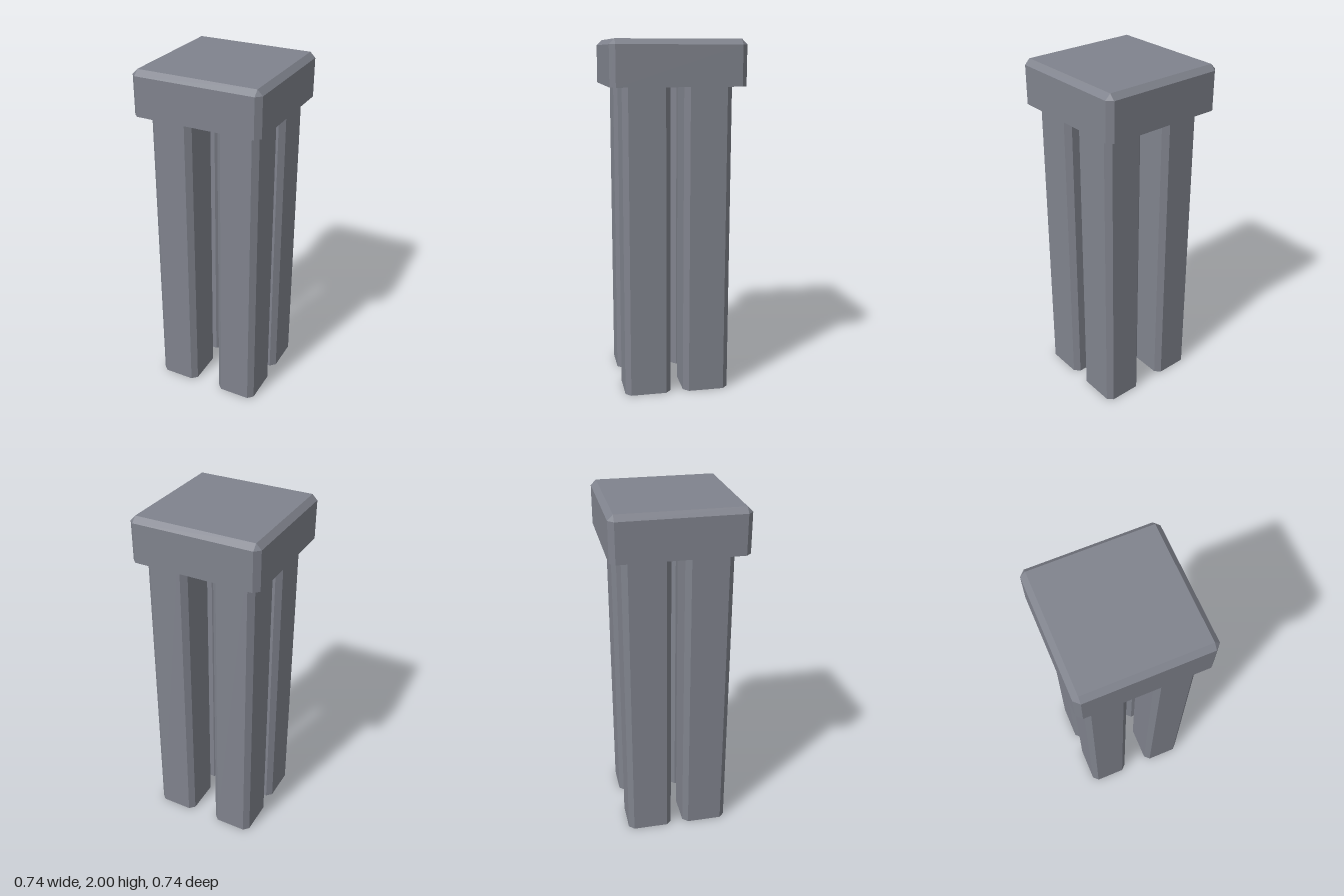
import * as THREE from 'three';

const CHAMFER = 0.03;

// Hollow block, open underneath, with chamfered upright and top edges.
function chamferedShell(width, height, depth, c = CHAMFER) {
  const w = width / 2, d = depth / 2;
  const corners = [[1, 1], [1, -1], [-1, -1], [-1, 1]];
  const outer = [], inner = [];
  for (const [sx, sz] of corners) {
    const pair = [[sx * (w - c), sz * d], [sx * w, sz * (d - c)]];
    if (sx !== sz) pair.reverse();
    outer.push(...pair);
    const top = [sx * (w - c), sz * (d - c)];
    inner.push(top, top);
  }
  const positions = [];
  const tri = (...points) => points.forEach((p) => positions.push(...p));
  const at = (ring, i, y) => [ring[i % 8][0], y, ring[i % 8][1]];
  for (let i = 0; i < 8; i++) {
    // upright wall
    const a = at(outer, i, 0), b = at(outer, i + 1, 0);
    const e = at(outer, i + 1, height - c), f = at(outer, i, height - c);
    tri(a, b, e);
    tri(a, e, f);
    // top chamfer: triangles at the corners, quads along the sides
    const g = at(inner, i + 1, height), h = at(inner, i, height);
    tri(f, e, g);
    if (i % 2) tri(f, g, h);
  }
  // top face
  const t = [0, 2, 4, 6].map((i) => at(inner, i, height));
  tri(t[0], t[1], t[2]);
  tri(t[0], t[2], t[3]);

  const geometry = new THREE.BufferGeometry();
  geometry.setAttribute('position', new THREE.Float32BufferAttribute(positions, 3));
  geometry.computeVertexNormals();
  return geometry;
}

export function createModel() {
  const model = new THREE.Group();
  model.name = 'stool';

  const grey = new THREE.MeshStandardMaterial({
    color: 0x80838d, flatShading: true, side: THREE.DoubleSide,
  });
  grey.name = 'slate grey';

  // Seat
  const seat = new THREE.Mesh(chamferedShell(0.736, 0.25, 0.74), grey);
  seat.name = 'seat';
  seat.position.y = 1.75;
  model.add(seat);

  // Four legs, their tops sunk into the seat
  const legGeometry = chamferedShell(0.24, 1.9, 0.264);
  for (const [side, x] of [['Left', 0.205], ['Right', -0.187]]) {
    for (const [end, z] of [['front', 0.169], ['back', -0.169]]) {
      const leg = new THREE.Mesh(legGeometry, grey);
      leg.name = `${end}${side}Leg`;
      leg.position.set(x, 0, z);
      model.add(leg);
    }
  }
  return model;
}
